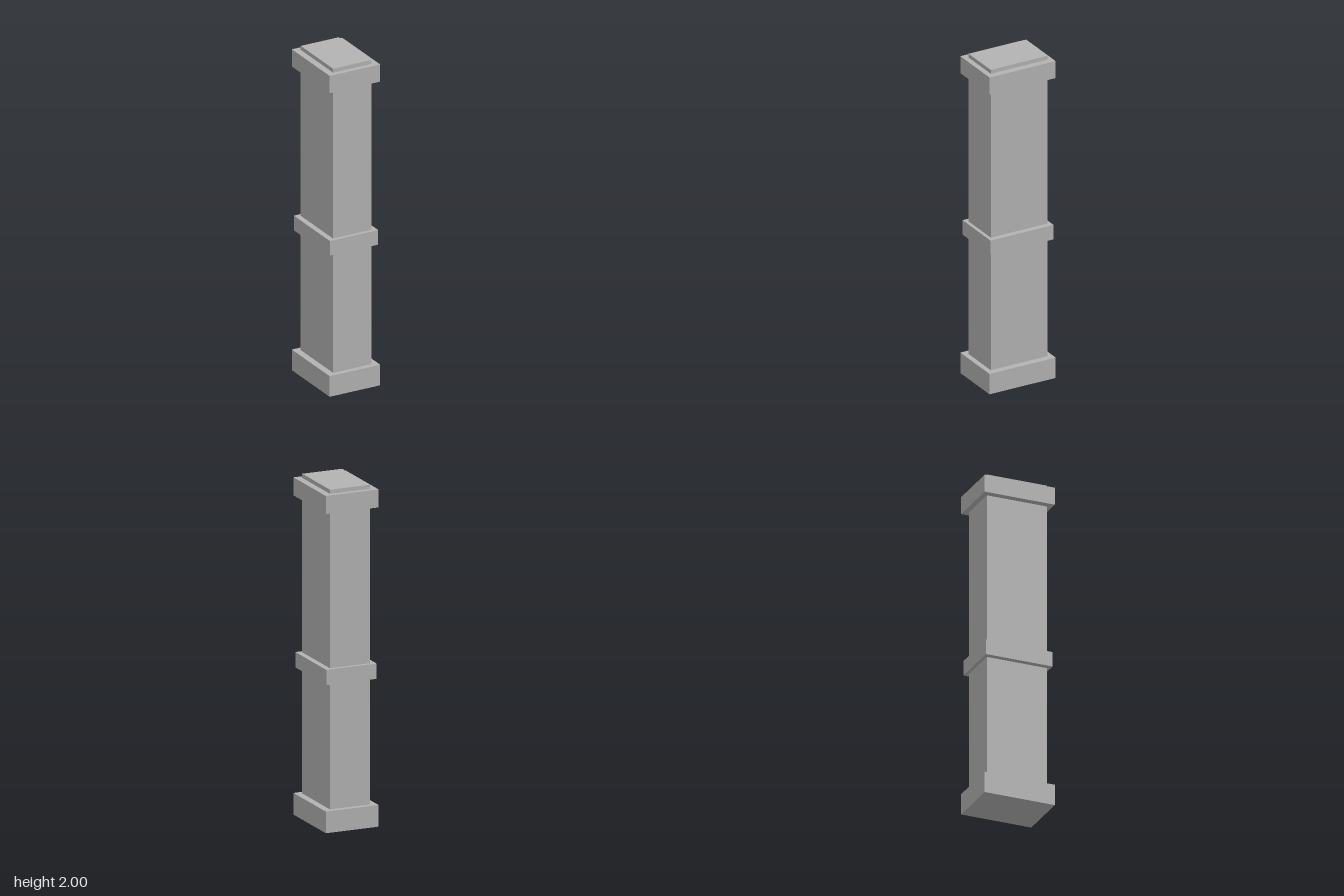
import * as THREE from 'three';

export function createModel() {
  const group = new THREE.Group();
  const stone = new THREE.MeshStandardMaterial({ color: 0xb2b2b2 });
  stone.name = 'grey stone';

  // Box spanning bottom to top, centred on the pillar axis
  function block(name, width, depth, bottom, top) {
    const mesh = new THREE.Mesh(new THREE.BoxGeometry(width, top - bottom, depth), stone);
    mesh.position.y = (bottom + top) / 2;
    mesh.name = name;
    group.add(mesh);
  }

  // Shaft runs through the trims and shows as a low plate on top;
  // it starts just above the ground so its underside stays inside the base
  block('shaft', 0.248, 0.37, 0.01, 2);
  block('base', 0.328, 0.432, 0, 0.127);
  block('middleBand', 0.314, 0.412, 0.864, 0.954);
  block('capital', 0.328, 0.432, 1.87, 1.976);

  return group;
}
